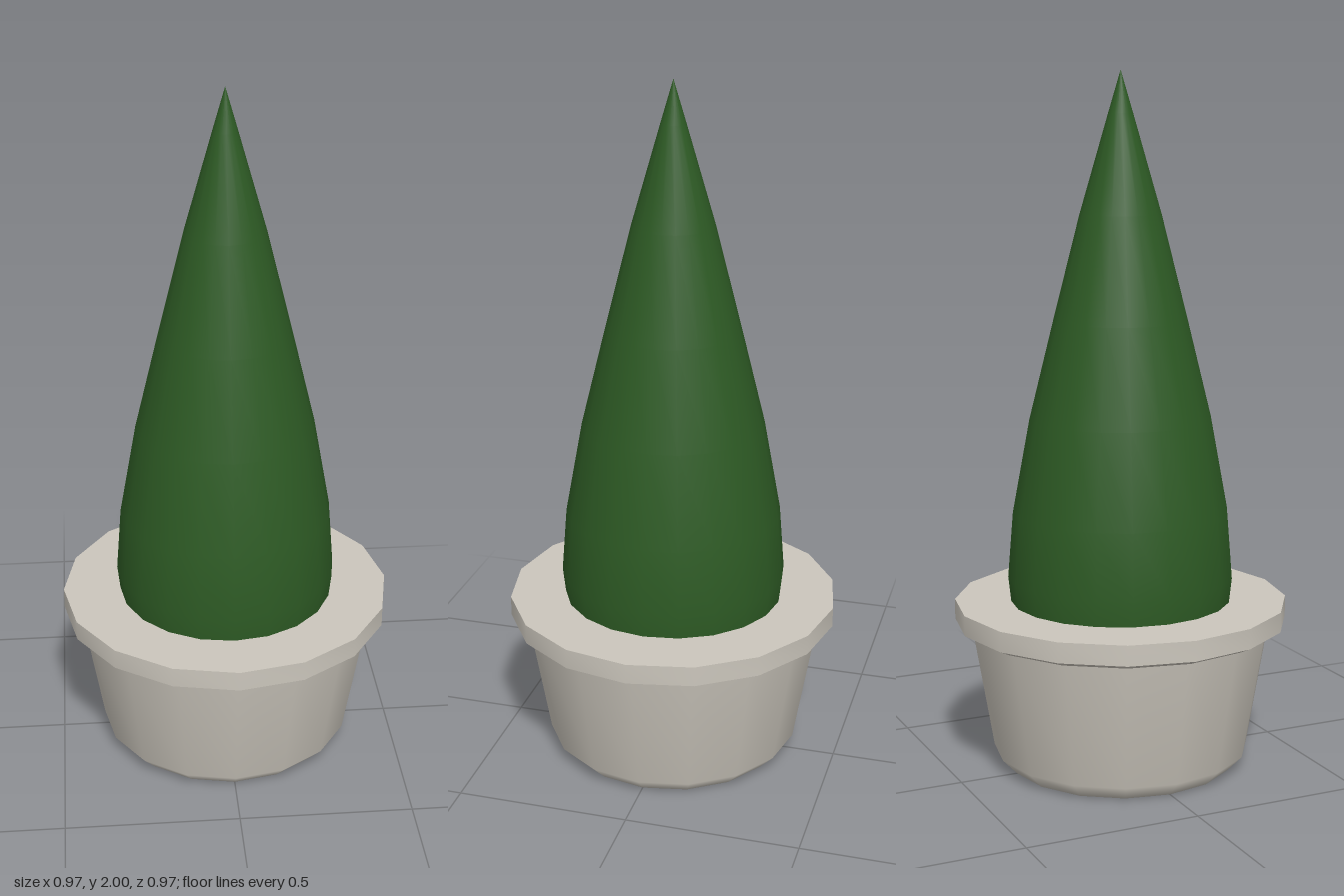
import * as THREE from 'three';
import { toCreasedNormals } from 'three/addons/utils/BufferGeometryUtils.js';

const lathe = (points, sides) =>
  new THREE.LatheGeometry(points.map(([r, y]) => new THREE.Vector2(r, y)), sides);

export function createModel() {
  const group = new THREE.Group();
  const stone = new THREE.MeshStandardMaterial({ color: 0xcbc6bc });
  stone.name = 'pale stone';
  const green = new THREE.MeshStandardMaterial({ color: 0x2d5a24 });
  green.name = 'dark green';

  const add = (name, geometry, material) => {
    const mesh = new THREE.Mesh(geometry, material);
    mesh.name = name;
    group.add(mesh);
    return mesh;
  };

  // Tapered pot with a softened foot
  add('pot', lathe([[0, 0], [0.33, 0], [0.373, 0.045], [0.437, 0.42]], 16), stone);

  // Crisp rim slab with a bevelled underside and a closed top
  const rim = lathe([[0.42, 0.415], [0.452, 0.415], [0.483, 0.43], [0.483, 0.488], [0, 0.488]], 16);
  add('rim', toCreasedNormals(rim, 0.45), stone);

  // Conical clipped shrub, tucked slightly into the rim
  const shrub = add('shrub', lathe([
    [0.31, 0.45], [0.322, 0.56], [0.307, 0.75], [0.258, 1.02],
    [0.19, 1.3], [0.115, 1.6], [0.035, 1.88], [0, 2],
  ], 20), green);
  shrub.scale.z = 1.02;

  return group;
}
